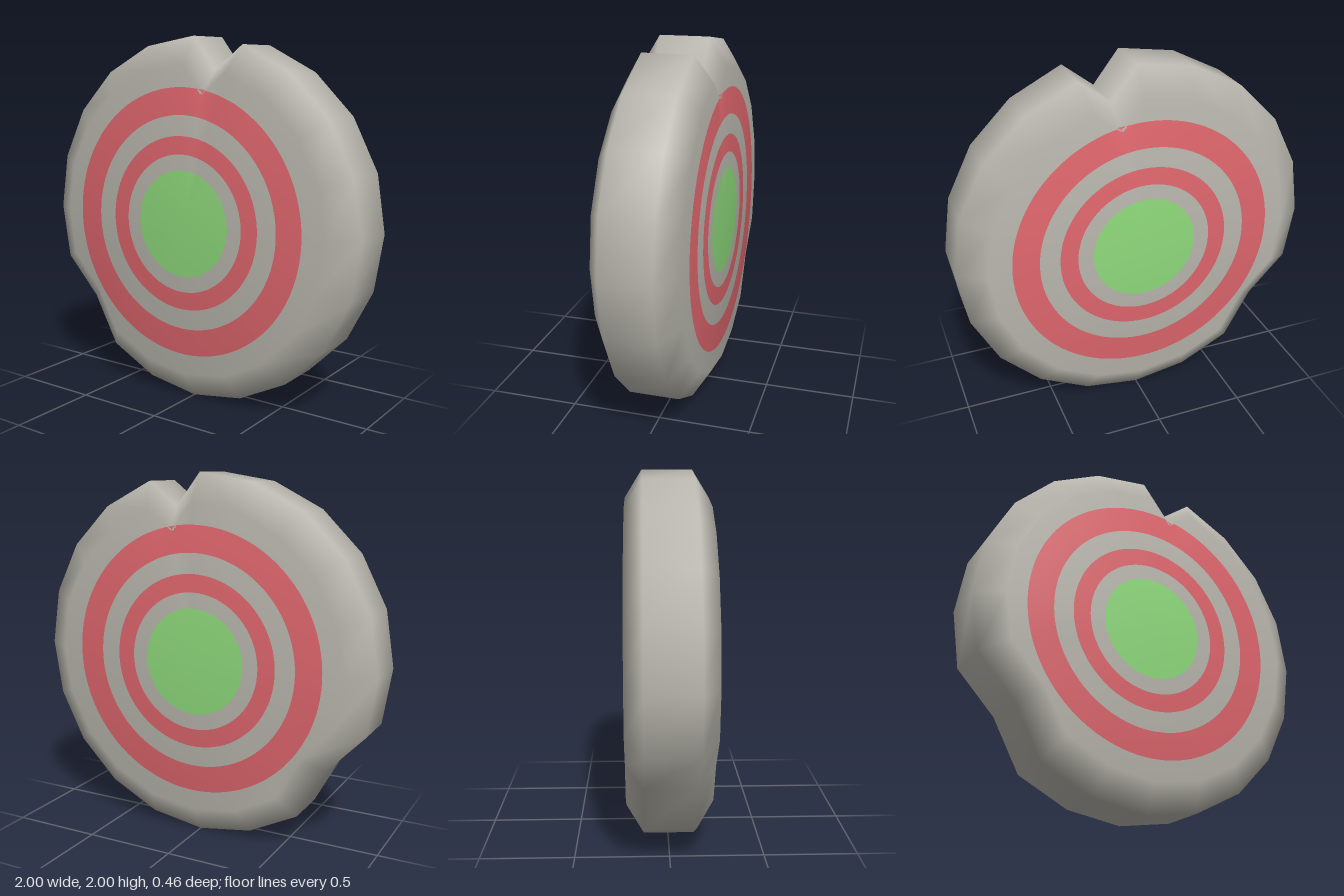
import * as THREE from 'three';

const INNER = 0.85, FACE_Z = 0.228, RIM_Z = 0.135;

// Twenty-sided outline with a notch at the top and a chip at the lower left
function makeOutline() {
  const points = [];
  for (let i = 0; i < 20; i++) {
    const a = i * Math.PI / 10;
    points.push(new THREE.Vector2(Math.cos(a), Math.sin(a)));
  }
  points[12].set(-0.74, -0.53);
  points.splice(5, 0, new THREE.Vector2(0.14, 0.82));
  return points;
}

// Smooth bevelled disc: four loops joined by strips, closed by a fan on each face
function makeBody(outline) {
  const n = outline.length, pos = [], index = [];
  for (const [s, z] of [[INNER, FACE_Z], [1, RIM_Z], [1, -RIM_Z], [INNER, -FACE_Z]]) {
    for (const p of outline) pos.push(p.x * s, p.y * s, z);
  }
  pos.push(0, 0, FACE_Z, 0, 0, -FACE_Z);
  for (let i = 0; i < n; i++) {
    const j = (i + 1) % n;
    for (let k = 0; k < 3; k++) {
      const a = k * n + i, b = k * n + j;
      index.push(a, a + n, b + n, a, b + n, b);
    }
    index.push(4 * n, i, j, 4 * n + 1, 3 * n + j, 3 * n + i);
  }
  const g = new THREE.BufferGeometry();
  g.setAttribute('position', new THREE.Float32BufferAttribute(pos, 3));
  g.setIndex(index);
  g.computeVertexNormals();
  return g;
}

// Height and smooth normal of the front face at a point
function sampleFace(outline, normals, x, y) {
  const n = outline.length;
  const normal = (k) => new THREE.Vector3().fromBufferAttribute(normals, k);
  for (let i = 0; i < n; i++) {
    const j = (i + 1) % n, a = outline[i], b = outline[j];
    const d = a.x * b.y - a.y * b.x;
    const u = (x * b.y - y * b.x) / d, v = (a.x * y - a.y * x) / d;
    if (u < -1e-6 || v < -1e-6) continue;
    const t = u + v, w = v / t;
    const ring = normal(i).lerp(normal(j), w);
    if (t <= INNER) {
      return { z: FACE_Z, normal: normal(4 * n).lerp(ring, t / INNER).normalize() };
    }
    const k = (t - INNER) / (1 - INNER);
    const rim = normal(n + i).lerp(normal(n + j), w);
    return { z: FACE_Z + (RIM_Z - FACE_Z) * k, normal: ring.lerp(rim, k).normalize() };
  }
  return { z: FACE_Z, normal: new THREE.Vector3(0, 0, 1) };
}

// Painted ring that follows the face; side is 1 for front and -1 for back
function makePaint(outline, normals, inner, outer, side) {
  const g = new THREE.RingGeometry(inner, outer, 200, 5);
  g.translate(-0.01, 0, 0);
  const p = g.attributes.position, nm = g.attributes.normal;
  for (let i = 0; i < p.count; i++) {
    const s = sampleFace(outline, normals, p.getX(i), p.getY(i));
    p.setZ(i, side * (s.z + 0.003));
    nm.setXYZ(i, s.normal.x, s.normal.y, side * s.normal.z);
  }
  if (side < 0) g.index.array.reverse();
  return g;
}

export function createModel() {
  const group = new THREE.Group();
  group.name = 'roundShield';
  const material = (name, color) => {
    const m = new THREE.MeshStandardMaterial({ color });
    m.name = name;
    return m;
  };
  const grey = material('stoneGrey', 0xb9b7ae);
  const red = material('paintRed', 0xe0676e);
  const green = material('paintGreen', 0x8fdb7c);
  const add = (name, geometry, mat) => {
    const mesh = new THREE.Mesh(geometry.translate(0, 1, 0), mat);
    mesh.name = name;
    group.add(mesh);
  };

  const outline = makeOutline();
  const body = makeBody(outline);
  const normals = body.attributes.normal;
  add('shieldBody', body, grey);

  // Target rings on both faces
  for (const [label, side] of [['front', 1], ['back', -1]]) {
    add(label + 'OuterRing', makePaint(outline, normals, 0.587, 0.733, side), red);
    add(label + 'InnerRing', makePaint(outline, normals, 0.378, 0.476, side), red);
    add(label + 'Centre', makePaint(outline, normals, 0.001, 0.292, side), green);
  }
  return group;
}
